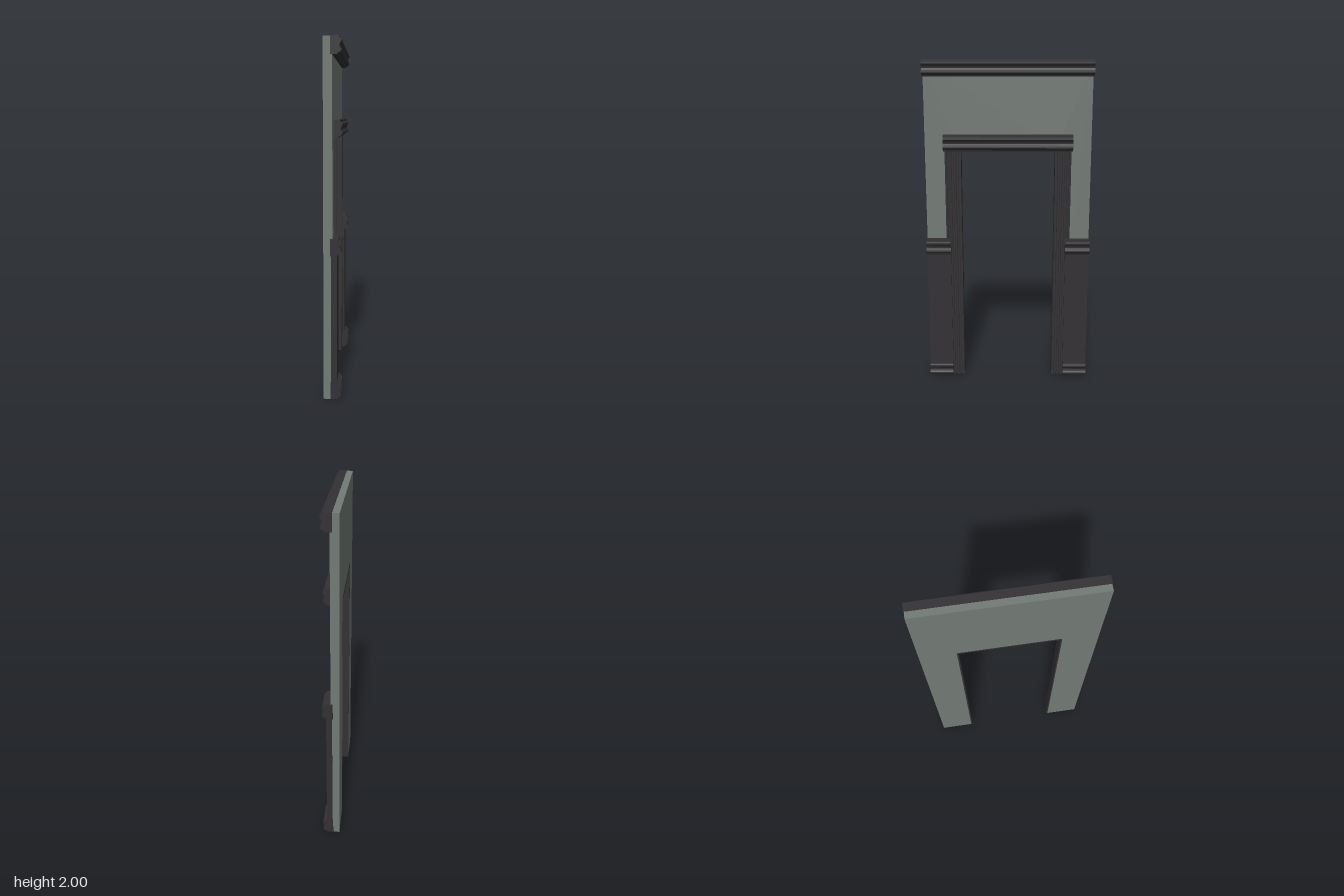
import * as THREE from 'three';

export function createModel() {
  const model = new THREE.Group();
  const wallMat = new THREE.MeshStandardMaterial({ color: 0x737a75 });
  const trimMat = new THREE.MeshStandardMaterial({ color: 0x333133 });

  const add = (name, geometry, material) => {
    const mesh = new THREE.Mesh(geometry, material);
    mesh.name = name;
    model.add(mesh);
    return mesh;
  };
  const shapeOf = (pts) => new THREE.Shape(pts.map(([a, b]) => new THREE.Vector2(a, b)));
  const extrude = (shape, depth) =>
    new THREE.ExtrudeGeometry(shape, { depth, bevelEnabled: false });

  // Wall with a doorway, drawn in the z-y plane and extruded through its thickness
  const wall = extrude(shapeOf([
    [-0.5, 0], [-0.29, 0], [-0.29, 1.475], [0.29, 1.475],
    [0.29, 0], [0.5, 0], [0.5, 1.998], [-0.5, 1.998],
  ]), 0.05);
  wall.rotateY(-Math.PI / 2);
  add('wall', wall, wallMat);

  // Horizontal moulding profile: [projection, height], two rolls around a hollow
  const profile = [
    [-0.012, 0], [0.026, 0], [0.029, 0.008], [0.036, 0.01], [0.044, 0.015],
    [0.049, 0.023], [0.048, 0.031], [0.042, 0.037], [0.039, 0.046],
    [0.04, 0.056], [0.045, 0.064], [0.05, 0.071], [0.049, 0.079],
    [0.043, 0.084], [0.035, 0.087], [0.035, 0.098], [-0.012, 0.098],
  ];
  const moulding = (name, y, z0, z1) => {
    const geo = extrude(shapeOf(profile), z1 - z0);
    geo.translate(0, y, z0);
    add(name, geo, trimMat);
  };
  moulding('crownMoulding', 1.902, -0.503, 0.503);
  moulding('doorHeader', 1.464, -0.388, 0.388);

  // Head lining under the wall
  const head = new THREE.BoxGeometry(0.06, 0.014, 0.58);
  head.translate(-0.0205, 1.471, 0);
  add('headLining', head, trimMat);

  // Fluted door casing in plan: [x, distance from the doorway centre]
  const casing = [
    [-0.0505, 0.283], [0.011, 0.283], [0.011, 0.298], [0.006, 0.302],
    [0.006, 0.312], [0.011, 0.316], [0.011, 0.326], [0.006, 0.33],
    [0.006, 0.34], [0.011, 0.344], [0.011, 0.354], [0.006, 0.358],
    [0.006, 0.367], [0.012, 0.371], [0.012, 0.381], [-0.003, 0.381],
    [-0.003, 0.292], [-0.0505, 0.292],
  ];
  for (const side of [1, -1]) {
    const label = side > 0 ? 'front' : 'back';

    // Casing and jamb lining
    const geo = extrude(shapeOf(casing.map(([x, z]) => [x, -z * side])), 1.468);
    geo.rotateX(-Math.PI / 2);
    add(label + 'DoorCasing', geo, trimMat);

    // Wainscot panel with its chair rail and skirting
    const panel = new THREE.BoxGeometry(0.034, 0.9, 0.148);
    panel.translate(0.009, 0.45, side * 0.428);
    add(label + 'WainscotPanel', panel, trimMat);
    const z0 = side > 0 ? 0.353 : -0.503;
    moulding(label + 'ChairRail', 0.822, z0, z0 + 0.15);
    moulding(label + 'Skirting', 0, z0, z0 + 0.15);
  }
  return model;
}
